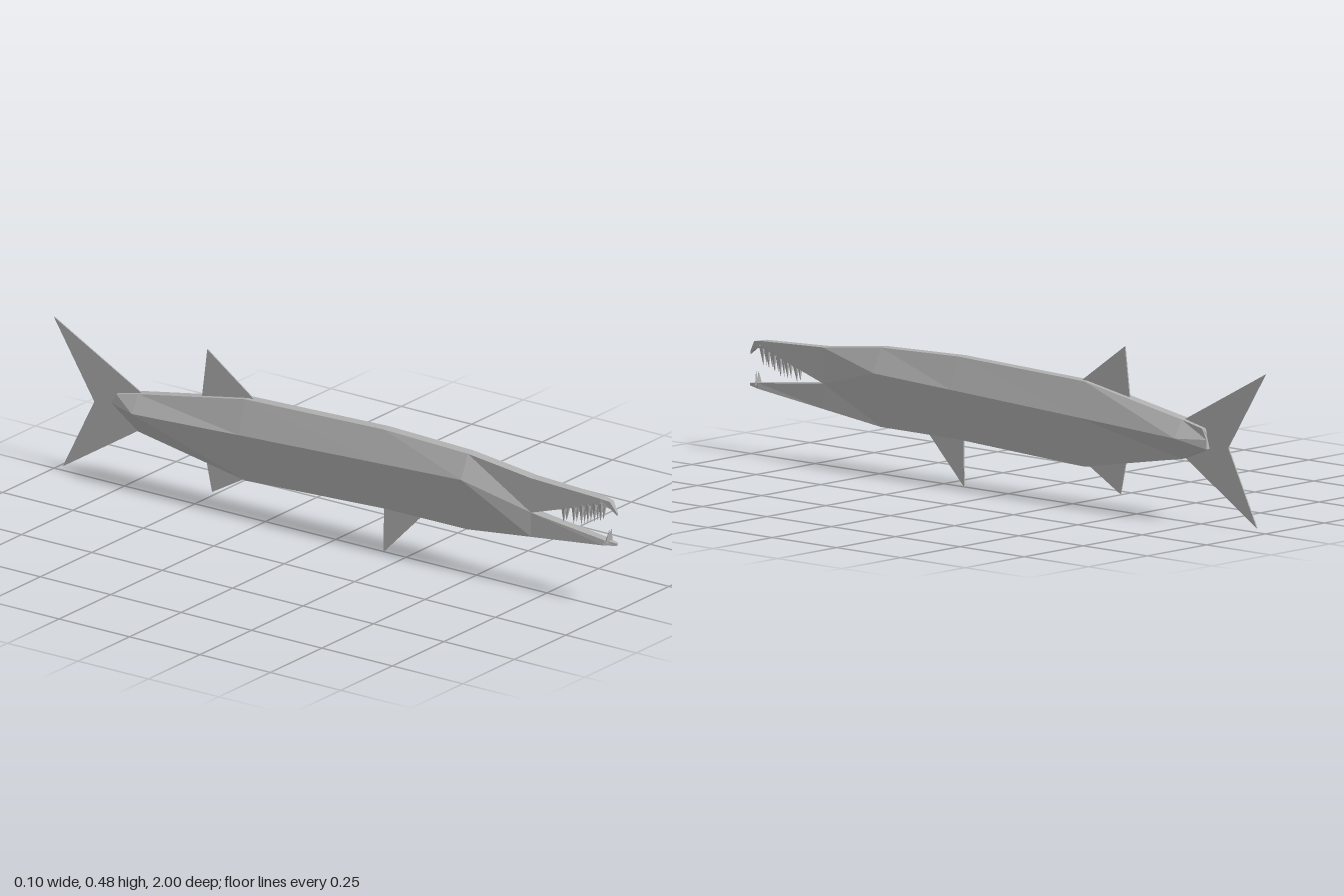
import * as THREE from 'three';

const grey = new THREE.MeshStandardMaterial({ color: 0xb0b0b0 });
grey.name = 'grey skin';

// Skin rings (counter-clockwise seen from +z, ordered back to front) with flat faces and end caps
function loft(rings) {
  const pos = [];
  const tri = (a, b, c) => pos.push(...a, ...b, ...c);
  const n = rings[0].length;
  for (let r = 0; r < rings.length - 1; r++) {
    const a = rings[r], b = rings[r + 1];
    for (let i = 0; i < n; i++) {
      const j = (i + 1) % n;
      tri(a[i], a[j], b[j]);
      tri(a[i], b[j], b[i]);
    }
  }
  const back = rings[0], front = rings[rings.length - 1];
  for (let i = 1; i < n - 1; i++) {
    tri(front[0], front[i], front[i + 1]);
    tri(back[0], back[i + 1], back[i]);
  }
  const g = new THREE.BufferGeometry();
  g.setAttribute('position', new THREE.Float32BufferAttribute(pos, 3));
  g.computeVertexNormals();
  return g;
}

// Six-sided trunk section: narrow flat back and belly, wide ridge along the flank
const EDGE = 0.016;
const hexRing = ([z, top, mid, bottom, w, zTop = z]) => [
  [EDGE, top, zTop], [-EDGE, top, zTop], [-w, mid, z],
  [-EDGE, bottom, z], [EDGE, bottom, z], [w, mid, z],
];

// Four-sided jaw section
const jawRing = ([z, top, bottom, wTop, wBottom]) => [
  [wTop, top, z], [-wTop, top, z], [-wBottom, bottom, z], [wBottom, bottom, z],
];

// Thin fin from a (z, y) outline
function finGeometry(points) {
  const t = 0.004;
  const shape = new THREE.Shape(points.map(([z, y]) => new THREE.Vector2(-z, y)));
  const g = new THREE.ExtrudeGeometry(shape, { depth: t, bevelEnabled: false });
  return g.translate(0, 0, -t / 2).rotateY(Math.PI / 2);
}

// Slim pointed tooth, from its root to its tip
function toothGeometry(root, tip, radius) {
  const dir = tip.clone().sub(root);
  const g = new THREE.ConeGeometry(radius, dir.length(), 4).toNonIndexed();
  g.computeVertexNormals();
  const turn = new THREE.Quaternion().setFromUnitVectors(new THREE.Vector3(0, 1, 0), dir.normalize());
  return g.applyQuaternion(turn).translate(...root.clone().add(tip).multiplyScalar(0.5).toArray());
}

export function createModel() {
  const model = new THREE.Group();
  model.name = 'fish';
  const add = (name, geometry, parent = model) => {
    const mesh = new THREE.Mesh(geometry, grey);
    mesh.name = name;
    parent.add(mesh);
  };

  // Trunk: z, top, ridge, bottom, ridge half width, optional z of the top edge
  add('body', loft([
    [-0.785, 0.281, 0.25, 0.222, 0.016, -0.768],
    [-0.69, 0.298, 0.247, 0.184, 0.048],
    [-0.31, 0.365, 0.265, 0.117, 0.048],
    [0.18, 0.38, 0.287, 0.139, 0.048],
    [0.48, 0.371, 0.3, 0.14, 0.048],
    [0.705, 0.345, 0.24, 0.166, 0.016],
  ].map(hexRing)));

  // Jaws: z, top, bottom, half width at top and bottom
  add('upperJaw', loft([
    [0.705, 0.345, 0.24, 0.016, 0.016],
    [0.95, 0.335, 0.317, 0.014, 0.014],
    [0.98, 0.33, 0.308, 0.009, 0.007],
    [1.0, 0.298, 0.29, 0.003, 0.002],
  ].map(jawRing)));
  add('lowerJaw', loft([
    [0.705, 0.24, 0.166, 0.016, 0.016],
    [0.96, 0.211, 0.195, 0.013, 0.015],
    [1.0, 0.206, 0.199, 0.004, 0.004],
  ].map(jawRing)));

  // Teeth in mirrored rows
  const teeth = new THREE.Group();
  teeth.name = 'teeth';
  model.add(teeth);
  const upper = [[0.945, 0.262], [0.923, 0.257], [0.9, 0.248], [0.877, 0.237], [0.85, 0.236], [0.814, 0.231]];
  for (const s of [-1, 1]) {
    for (const [z, tipY] of upper) {
      const rootY = 0.246 + (z - 0.705) * 0.314;
      add('upperTooth', toothGeometry(
        new THREE.Vector3(s * 0.009, rootY, z + 0.004), new THREE.Vector3(s * 0.007, tipY, z), 0.009), teeth);
    }
    add('lowerFang', toothGeometry(
      new THREE.Vector3(s * 0.006, 0.203, 0.97), new THREE.Vector3(s * 0.005, 0.246, 0.976), 0.009), teeth);
  }

  // Fins on the centre plane
  add('dorsalFin', finGeometry([[-0.29, 0.366], [-0.455, 0.482], [-0.475, 0.325], [-0.31, 0.35]]));
  add('bellyFin', finGeometry([[0.31, 0.142], [0.17, 0], [0.173, 0.15]]));
  add('analFin', finGeometry([[-0.31, 0.122], [-0.438, 0.05], [-0.46, 0.15]]));
  add('tailFin', finGeometry([[-0.685, 0.296], [-1, 0.463], [-0.856, 0.235], [-0.968, 0.013], [-0.69, 0.186]]));
  return model;
}
